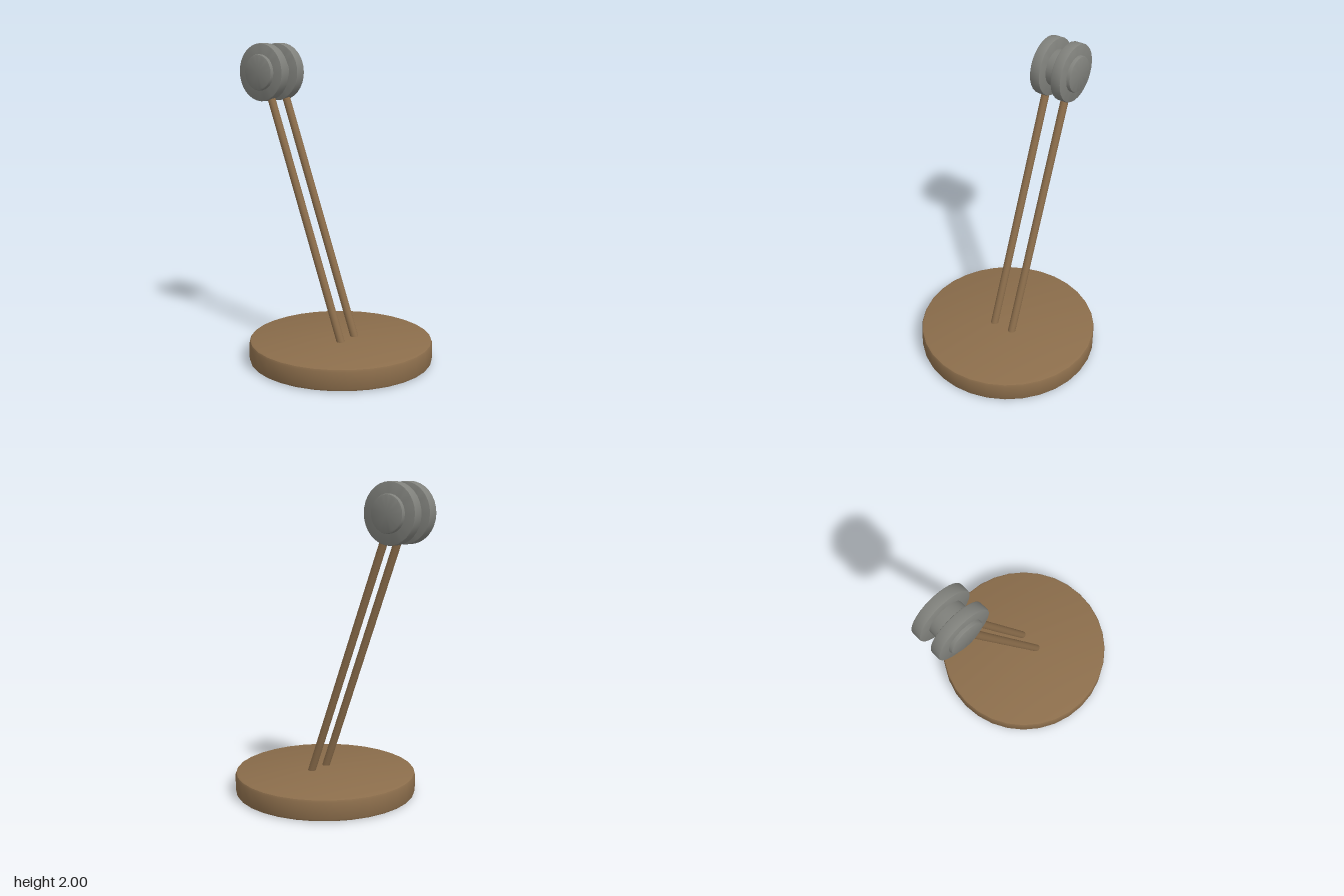
import * as THREE from 'three';
import { toCreasedNormals } from 'three/addons/utils/BufferGeometryUtils.js';

const wood = new THREE.MeshStandardMaterial({ color: 0x8b6d4b });
wood.name = 'brown wood';
const metal = new THREE.MeshStandardMaterial({ color: 0x80817c });
metal.name = 'grey metal';

// Solid disc along y with softly bevelled rims, centred on the origin
function bevelledDisc(radius, height, bevel) {
  const h = height / 2;
  const b = bevel * 0.3;
  const profile = [
    [0, -h], [radius - bevel, -h], [radius - b, -h + b], [radius, -h + bevel],
    [radius, h - bevel], [radius - b, h - b], [radius - bevel, h], [0, h],
  ].map(([x, y]) => new THREE.Vector2(x, y));
  return toCreasedNormals(new THREE.LatheGeometry(profile, 32), 0.6);
}

function addPart(parent, name, geometry, material) {
  const mesh = new THREE.Mesh(geometry, material);
  mesh.name = name;
  parent.add(mesh);
  return mesh;
}

export function createModel() {
  const model = new THREE.Group();
  model.name = 'pulleyStand';

  // Round wooden base
  const base = addPart(model, 'base', bevelledDisc(0.585, 0.14, 0.018), wood);
  base.position.set(0, 0.07, 0.09);

  // Axle hub through both wheels
  const head = new THREE.Group();
  head.name = 'head';
  head.position.set(0, 1.815, -0.485);
  model.add(head);
  const hub = addPart(head, 'hub', bevelledDisc(0.115, 0.27, 0.012), metal);
  hub.rotation.z = Math.PI / 2;

  // Matching wheel and leaning rod on each side
  const foot = new THREE.Vector3(0, 0.12, 0.152);
  const tip = new THREE.Vector3(0, 1.67, -0.432);
  const axis = tip.clone().sub(foot);
  for (const [side, sign] of [['left', 1], ['right', -1]]) {
    const wheel = addPart(head, side + 'Wheel', bevelledDisc(0.185, 0.07, 0.008), metal);
    wheel.rotation.z = Math.PI / 2;
    wheel.position.x = sign * 0.075;

    const rod = addPart(model, side + 'Rod',
      new THREE.CylinderGeometry(0.025, 0.025, axis.length(), 16), wood);
    rod.position.copy(foot).add(tip).multiplyScalar(0.5);
    rod.position.x = sign * 0.071;
    rod.quaternion.setFromUnitVectors(new THREE.Vector3(0, 1, 0), axis.clone().normalize());
  }
  return model;
}
